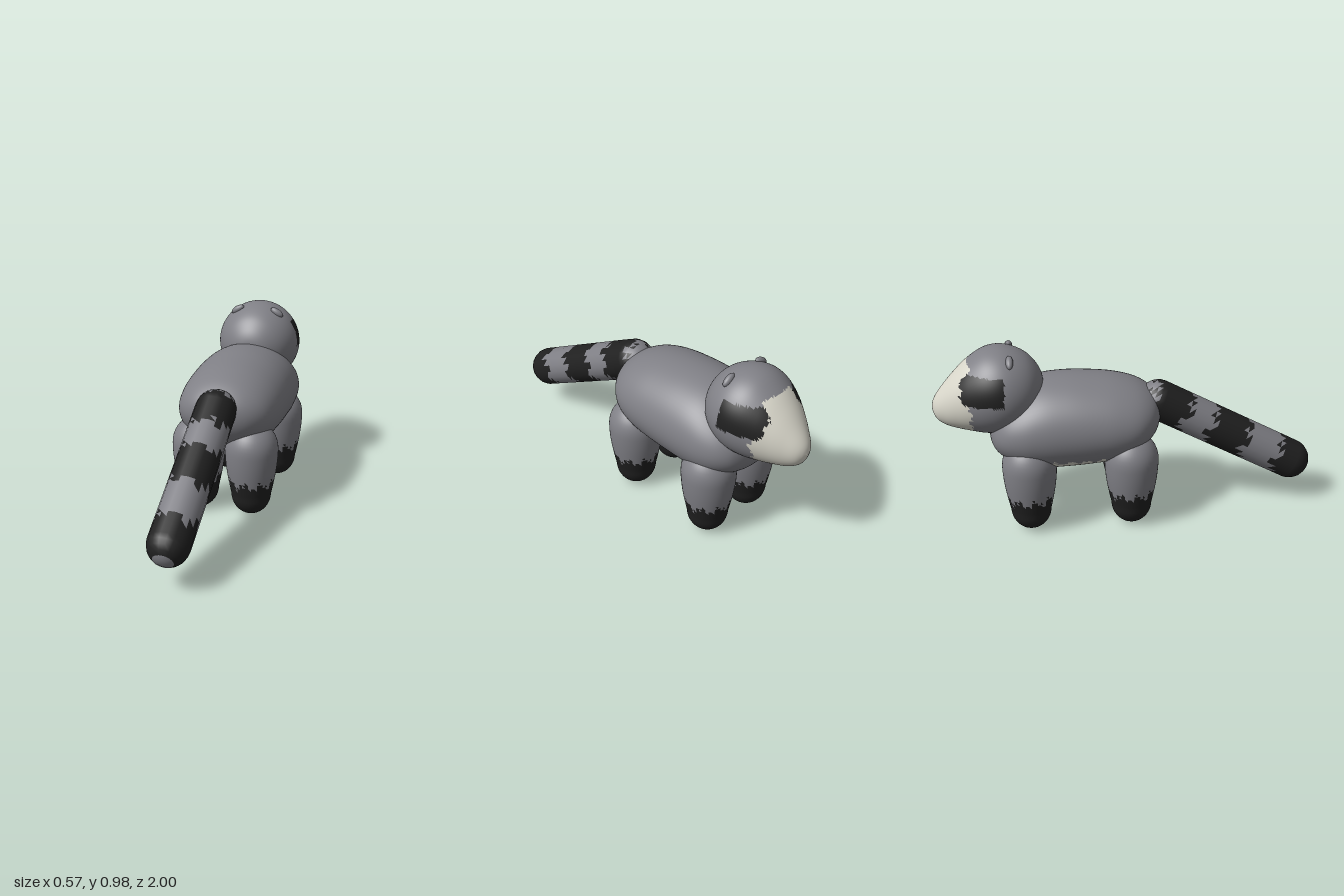
import * as THREE from 'three';

const flat = (name, color) => {
  const m = new THREE.MeshStandardMaterial({ color });
  m.name = name;
  return m;
};

// Sorts triangles into material groups by a rule on their centre (x, y, z) -> material index.
function paint(geo, rule, count) {
  const p = geo.attributes.position, idx = geo.index.array;
  const lists = Array.from({ length: count }, () => []);
  for (let i = 0; i < idx.length; i += 3) {
    const t = [idx[i], idx[i + 1], idx[i + 2]];
    const mid = (f) => (f(t[0]) + f(t[1]) + f(t[2])) / 3;
    lists[rule(mid((k) => p.getX(k)), mid((k) => p.getY(k)), mid((k) => p.getZ(k)))].push(...t);
  }
  geo.setIndex(lists.flat());
  geo.clearGroups();
  let start = 0;
  lists.forEach((l, m) => {
    if (l.length) geo.addGroup(start, l.length, m);
    start += l.length;
  });
  return geo;
}

// Smooth body through elliptical sections [z, bottom, top, halfWidth], running towards -z.
function loft(sections, rings, sides) {
  const ends = new THREE.CatmullRomCurve3(sections.map(([z, b, t]) => new THREE.Vector3(z, b, t)));
  const wide = new THREE.CatmullRomCurve3(sections.map(([z, , , w]) => new THREE.Vector3(z, w, 0)));
  const pos = [], index = [];
  for (let i = 0; i <= rings; i++) {
    const e = ends.getPoint(i / rings), w = Math.max(0.0005, wide.getPoint(i / rings).y);
    const cy = (e.y + e.z) / 2, h = Math.max(0.0005, (e.z - e.y) / 2);
    for (let j = 0; j < sides; j++) {
      const a = (j / sides) * Math.PI * 2;
      pos.push(w * Math.cos(a), cy + h * Math.sin(a), e.x);
      if (i === rings) continue;
      const k = (j + 1) % sides, r = i * sides, n = r + sides;
      index.push(r + j, n + j, r + k, r + k, n + j, n + k);
    }
  }
  const geo = new THREE.BufferGeometry();
  geo.setAttribute('position', new THREE.Float32BufferAttribute(pos, 3));
  geo.setIndex(index);
  geo.computeVertexNormals();
  return geo;
}

// Ragged edge offset
const rag = (u) => Math.sin(u * 3) * 0.5 + Math.sin(u * 7 + 1) * 0.35 + Math.sin(u * 13 + 2) * 0.25;

export function createModel() {
  const model = new THREE.Group();
  const grey = flat('grey fur', 0x808086);
  const black = flat('black fur', 0x202020);
  const cream = flat('cream fur', 0xd6d4c8);
  const fur = [grey, black, cream];
  const add = (name, geo, mat = fur) => {
    const mesh = new THREE.Mesh(geo, mat);
    mesh.name = name;
    model.add(mesh);
    return mesh;
  };

  // Body with cream belly
  const body = loft([
    [0.175, 0.585, 0.585, 0], [0.165, 0.52, 0.65, 0.09], [0.14, 0.47, 0.69, 0.155], [0.1, 0.425, 0.722, 0.205],
    [0.04, 0.375, 0.752, 0.245], [-0.06, 0.337, 0.78, 0.27], [-0.18, 0.322, 0.796, 0.279], [-0.32, 0.313, 0.803, 0.28],
    [-0.45, 0.313, 0.79, 0.275], [-0.55, 0.335, 0.75, 0.26], [-0.63, 0.375, 0.7, 0.225], [-0.68, 0.415, 0.65, 0.175],
    [-0.705, 0.455, 0.6, 0.11], [-0.718, 0.52, 0.52, 0],
  ], 72, 72);
  add('body', paint(body, (x, y, z) =>
    (y < 0.405 + 0.02 * rag(z * 25) && z < -0.08 + 0.02 * rag(x * 20) ? 2 : 0), 3));

  // Head with cream muzzle and black eye patches
  const head = loft([
    [-0.425, 0.755, 0.755, 0], [-0.435, 0.685, 0.82, 0.068], [-0.46, 0.635, 0.87, 0.12], [-0.51, 0.58, 0.925, 0.176],
    [-0.58, 0.54, 0.962, 0.214], [-0.65, 0.522, 0.976, 0.226], [-0.72, 0.52, 0.965, 0.216], [-0.8, 0.533, 0.918, 0.184],
    [-0.87, 0.547, 0.855, 0.143], [-0.93, 0.565, 0.788, 0.1], [-0.975, 0.595, 0.73, 0.06], [-0.993, 0.63, 0.695, 0.029],
    [-1.0, 0.66, 0.66, 0],
  ], 84, 80);
  add('head', paint(head, (x, y, z) => {
    const front = -0.845 + 0.012 * rag(y * 40), back = -0.63 + 0.006 * rag(y * 40);
    if (z > front && z < back && y > 0.74 && y < 0.882 && Math.abs(x) > 0.1) return 1;
    return z < -0.8 + 0.018 * rag(y * 22) ? 2 : 0;
  }, 3));

  // Small ears lying on the crown
  for (const side of [1, -1]) {
    const ear = add(side > 0 ? 'leftEar' : 'rightEar', new THREE.SphereGeometry(1, 20, 14), grey);
    ear.scale.set(0.04, 0.02, 0.019);
    ear.position.set(side * 0.113, 0.938, -0.595);
    ear.rotation.z = -side * 0.55;
  }

  // Legs: tapered, round at both ends, with black feet
  const profile = [];
  for (let i = 0; i <= 10; i++) {
    const a = (i / 10) * Math.PI / 2;
    profile.push(new THREE.Vector2(0.106 * Math.sin(a), 0.115 - 0.115 * Math.cos(a)));
  }
  for (let i = 1; i < 14; i++) {
    const t = i / 14;
    profile.push(new THREE.Vector2(0.106 + 0.035 * Math.sin(t * Math.PI / 2), 0.115 + 0.26 * t));
  }
  for (let i = 0; i <= 10; i++) {
    const a = (i / 10) * Math.PI / 2;
    profile.push(new THREE.Vector2(0.141 * Math.cos(a), 0.375 + 0.145 * Math.sin(a)));
  }
  const leg = paint(new THREE.LatheGeometry(profile, 48), (x, y, z) =>
    (y < 0.195 + 0.04 * rag(Math.atan2(z, x) * 3) ? 1 : 0), 3);
  for (const [end, z] of [['front', -0.52], ['hind', 0.01]]) {
    for (const [side, x] of [['Left', 0.146], ['Right', -0.146]]) {
      add(`${end}${side}Leg`, leg).position.set(x, 0, z);
    }
  }

  // Ringed tail sloping down to the rear
  const length = 0.827;
  const rings = [[-0.09, 0.11], [0.31, 0.53], [0.68, 0.88]];
  const tail = paint(new THREE.CapsuleGeometry(0.107, length, 6, 18, 28), (x, y, z) => {
    const s = y + length / 2;
    const e = s < -0.05 ? 0 : 0.045 * rag(Math.atan2(x, z) * 2);
    return rings.some(([a, b]) => s > a + e && s < b + e) ? 1 : 0;
  }, 3);
  const tailMesh = add('tail', tail);
  tailMesh.position.set(0, 0.4325, 0.5315);
  tailMesh.rotation.x = Math.atan2(-0.723, 0.401);

  return model;
}
